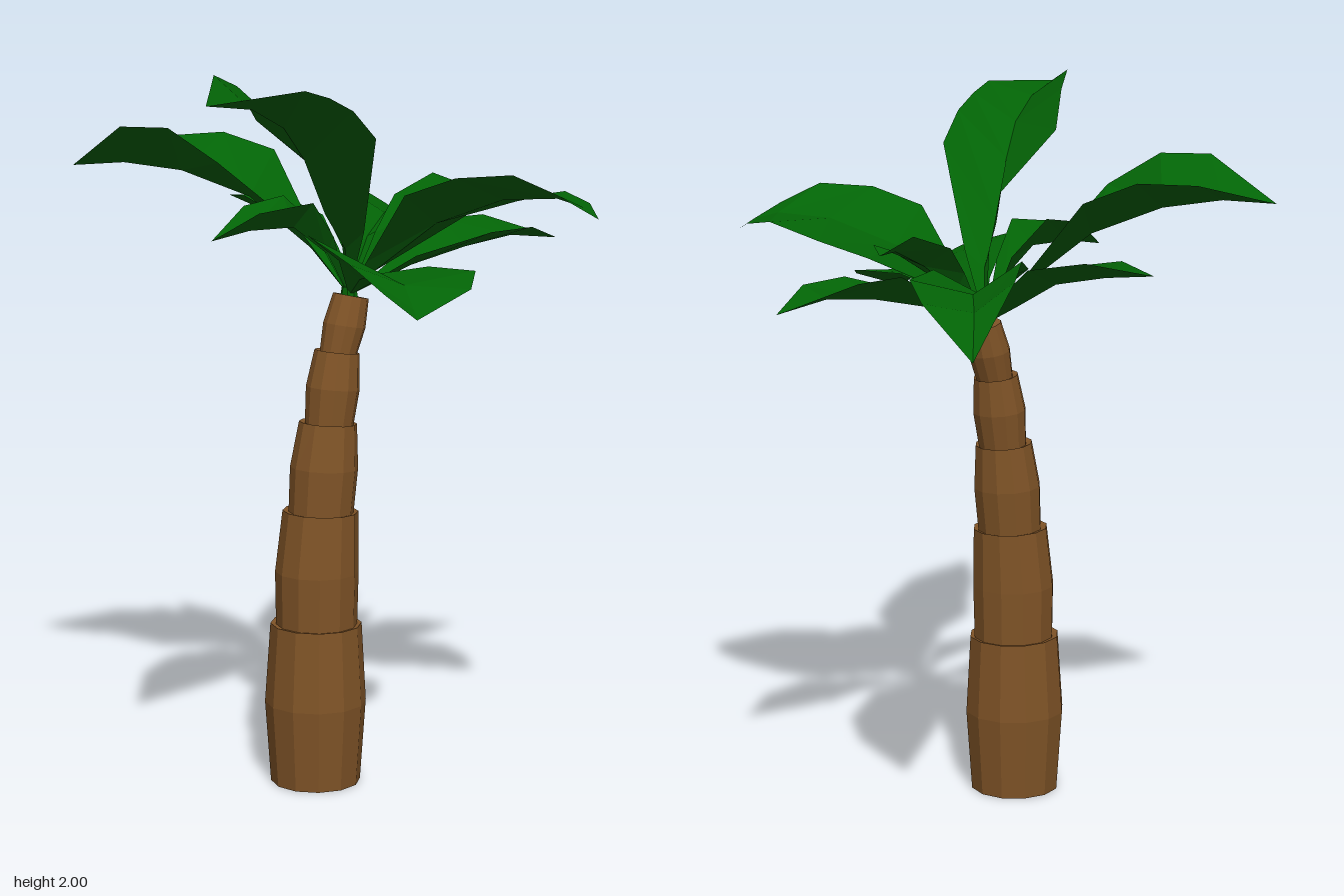
import * as THREE from 'three';

const bark = new THREE.MeshStandardMaterial({
  name: 'bark brown', color: 0x805427, flatShading: true, side: THREE.DoubleSide,
});
const green = new THREE.MeshStandardMaterial({
  name: 'leaf green', color: 0x036406, flatShading: true, side: THREE.DoubleSide,
});

const CROWN = [0.045, 1.36, 0.055]; // where all the fronds meet
const TRUNK_Z = 0.06;

// Bulging trunk sections, three rings each: [centre x, y, radius, tilt]
const TRUNK_RINGS = [
  [-0.07, 0, 0.125, 0], [-0.07, 0.23, 0.141, 0], [-0.068, 0.453, 0.127, 0.01],
  [-0.066, 0.45, 0.113, 0.01], [-0.065, 0.6, 0.116, 0.01], [-0.053, 0.77, 0.105, 0.03],
  [-0.051, 0.766, 0.09, 0.03], [-0.041, 0.89, 0.094, 0.05], [-0.028, 1.015, 0.08, 0.07],
  [-0.024, 1.01, 0.067, 0.07], [-0.012, 1.11, 0.074, 0.1], [0.002, 1.21, 0.062, 0.13],
  [0.006, 1.205, 0.051, 0.13], [0.026, 1.28, 0.058, 0.18], [0.048, 1.36, 0.049, 0.22],
  [0.048, 1.358, 0.001, 0.22],
];

// One tube through all the rings, open at the foot
function makeTrunk() {
  const bands = TRUNK_RINGS.length - 1;
  const geo = new THREE.CylinderGeometry(1, 1, bands, 12, bands, true);
  const p = geo.attributes.position;
  for (let i = 0; i < p.count; i++) {
    const [cx, cy, r, tilt] = TRUNK_RINGS[Math.round(p.getY(i) + bands / 2)];
    const dx = p.getX(i) * r;
    p.setXYZ(i, cx + dx, cy - dx * tilt, TRUNK_Z + p.getZ(i) * r);
  }
  geo.computeVertexNormals();
  const mesh = new THREE.Mesh(geo, bark);
  mesh.name = 'trunk';
  return mesh;
}

// A folded frond: rows of [edge, rib, edge] points between the crown and the tip
function frond(name, tip, rows) {
  const pos = [];
  const tri = (a, b, c) => pos.push(...a, ...b, ...c);
  const all = [[CROWN, CROWN, CROWN], ...rows, [tip, tip, tip]];
  for (let i = 0; i < all.length - 1; i++) {
    const a = all[i], b = all[i + 1];
    for (let s = 0; s < 2; s++) {
      if (i < all.length - 2) tri(a[s], b[s + 1], b[s]);
      if (i > 0) tri(a[s], a[s + 1], b[s + 1]);
    }
  }
  const geo = new THREE.BufferGeometry();
  geo.setAttribute('position', new THREE.Float32BufferAttribute(pos, 3));
  geo.computeVertexNormals();
  const mesh = new THREE.Mesh(geo, green);
  mesh.name = name;
  return mesh;
}

export function createModel() {
  const tree = new THREE.Group();
  tree.name = 'palmTree';
  tree.add(makeTrunk());

  // Fronds
  const crown = new THREE.Group();
  crown.name = 'crown';
  crown.add(
    frond('frondBackLeft', [0.73, 1.435, -0.65], [
      [[0.105, 1.45, -0.04], [0.12, 1.42, -0.02], [0.135, 1.44, -0.005]],
      [[0.17, 1.56, -0.25], [0.25, 1.49, -0.15], [0.36, 1.56, -0.09]],
      [[0.32, 1.61, -0.385], [0.43, 1.53, -0.32], [0.60, 1.58, -0.27]],
      [[0.47, 1.59, -0.52], [0.58, 1.52, -0.49], [0.70, 1.55, -0.43]],
    ]),
    frond('frondLeft', [0.775, 1.47, 0.05], [
      [[0.25, 1.46, 0.01], [0.25, 1.43, 0.06], [0.24, 1.46, 0.1]],
      [[0.42, 1.54, -0.03], [0.43, 1.47, 0.07], [0.44, 1.52, 0.18]],
      [[0.58, 1.54, -0.045], [0.60, 1.49, 0.06], [0.61, 1.52, 0.145]],
    ]),
    frond('frondLeftUpper', [0.57, 1.62, -0.12], [
      [[0.17, 1.52, 0.0], [0.18, 1.47, 0.025], [0.22, 1.5, 0.05]],
      [[0.30, 1.61, -0.09], [0.34, 1.56, -0.03], [0.40, 1.6, 0.03]],
      [[0.46, 1.66, -0.125], [0.49, 1.62, -0.09], [0.54, 1.64, -0.06]],
    ]),
    frond('frondFrontLeft', [0.43, 1.6, 0.65], [
      [[0.05, 1.46, 0.13], [0.08, 1.43, 0.12], [0.13, 1.45, 0.1]],
      [[0.025, 1.66, 0.34], [0.18, 1.57, 0.27], [0.40, 1.57, 0.13]],
      [[0.11, 1.71, 0.45], [0.29, 1.64, 0.42], [0.47, 1.61, 0.25]],
      [[0.22, 1.72, 0.55], [0.37, 1.65, 0.55], [0.51, 1.65, 0.41]],
      [[0.32, 1.67, 0.6], [0.41, 1.63, 0.61], [0.49, 1.63, 0.54]],
    ]),
    frond('frondFront', [-0.147, 1.38, 0.635], [
      [[-0.04, 1.47, 0.13], [0.0, 1.42, 0.17], [0.035, 1.42, 0.2]],
      [[-0.23, 1.565, 0.26], [-0.05, 1.46, 0.34], [0.09, 1.47, 0.36]],
      [[-0.235, 1.51, 0.46], [-0.09, 1.45, 0.5], [0.14, 1.47, 0.5]],
      [[-0.195, 1.44, 0.56], [-0.125, 1.4, 0.59], [0.05, 1.44, 0.6]],
    ]),
    frond('frondFrontRight', [-0.775, 1.945, 0.645], [
      [[-0.03, 1.55, 0.12], [-0.02, 1.5, 0.13], [0.0, 1.55, 0.19]],
      [[-0.1, 1.7, 0.152], [-0.14, 1.61, 0.21], [-0.11, 1.82, 0.4]],
      [[-0.32, 1.86, 0.157], [-0.28, 1.77, 0.32], [-0.23, 1.9, 0.47]],
      [[-0.45, 1.96, 0.27], [-0.4, 1.86, 0.41], [-0.34, 1.94, 0.525]],
      [[-0.60, 2.0, 0.4], [-0.56, 1.92, 0.51], [-0.45, 1.965, 0.58]],
    ]),
    frond('frondBackRight', [-0.485, 1.7, -0.53], [
      [[-0.04, 1.54, -0.07], [0.0, 1.48, -0.06], [0.04, 1.53, -0.12]],
      [[-0.29, 1.73, -0.08], [-0.12, 1.62, -0.19], [0.06, 1.73, -0.34]],
      [[-0.375, 1.82, -0.2], [-0.26, 1.69, -0.32], [-0.06, 1.78, -0.42]],
      [[-0.46, 1.82, -0.31], [-0.38, 1.71, -0.43], [-0.2, 1.77, -0.505]],
    ]),
    frond('frondBack', [0.09, 1.575, -0.63], [
      [[0.04, 1.47, -0.12], [0.07, 1.43, -0.1], [0.11, 1.46, -0.08]],
      [[0.025, 1.56, -0.3], [0.08, 1.51, -0.26], [0.145, 1.55, -0.22]],
      [[0.035, 1.59, -0.46], [0.085, 1.55, -0.45], [0.138, 1.59, -0.43]],
    ]),
    frond('frondRight', [-0.4, 1.54, 0.06], [
      [[-0.03, 1.54, 0.03], [-0.03, 1.48, 0.06], [-0.03, 1.53, 0.09]],
      [[-0.13, 1.64, -0.005], [-0.14, 1.56, 0.06], [-0.12, 1.63, 0.125]],
      [[-0.26, 1.62, 0.0], [-0.28, 1.56, 0.06], [-0.28, 1.61, 0.107]],
    ]),
  );

  // Bud where the fronds join
  const bud = new THREE.Mesh(new THREE.CylinderGeometry(0.02, 0.025, 0.03, 8), green);
  bud.name = 'bud';
  bud.position.set(CROWN[0], CROWN[1] + 0.01, CROWN[2]);
  crown.add(bud);
  tree.add(crown);

  return tree;
}
